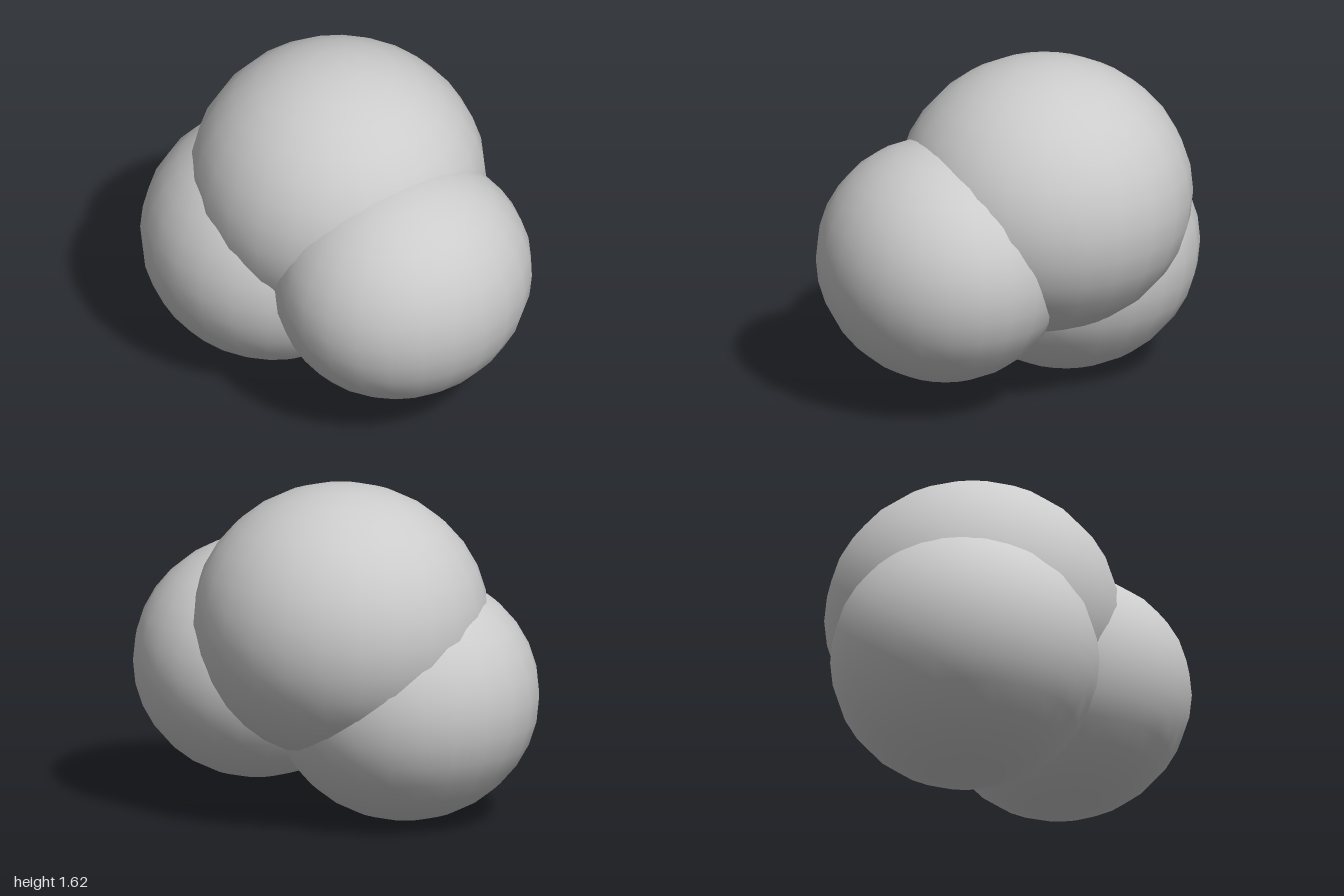
import * as THREE from 'three';

// Three overlapping, slightly flattened smooth balls: centre and radii along x, y, z
const BALLS = [
  { name: 'topBall', center: [0.06, 0.96, -0.12], radii: [0.705, 0.66, 0.71] },
  { name: 'frontBall', center: [-0.005, 0.705, 0.415], radii: [0.64, 0.58, 0.582] },
  { name: 'backBall', center: [-0.13, 0.602, -0.36], radii: [0.64, 0.602, 0.64] },
];

export function createModel() {
  const model = new THREE.Group();
  model.name = 'ballCluster';
  const material = new THREE.MeshStandardMaterial({ color: 0xcccccc });
  const sphere = new THREE.SphereGeometry(1, 24, 16);

  for (const { name, center, radii } of BALLS) {
    const ball = new THREE.Mesh(sphere, material);
    ball.name = name;
    ball.position.set(...center);
    ball.scale.set(...radii);
    model.add(ball);
  }
  return model;
}
